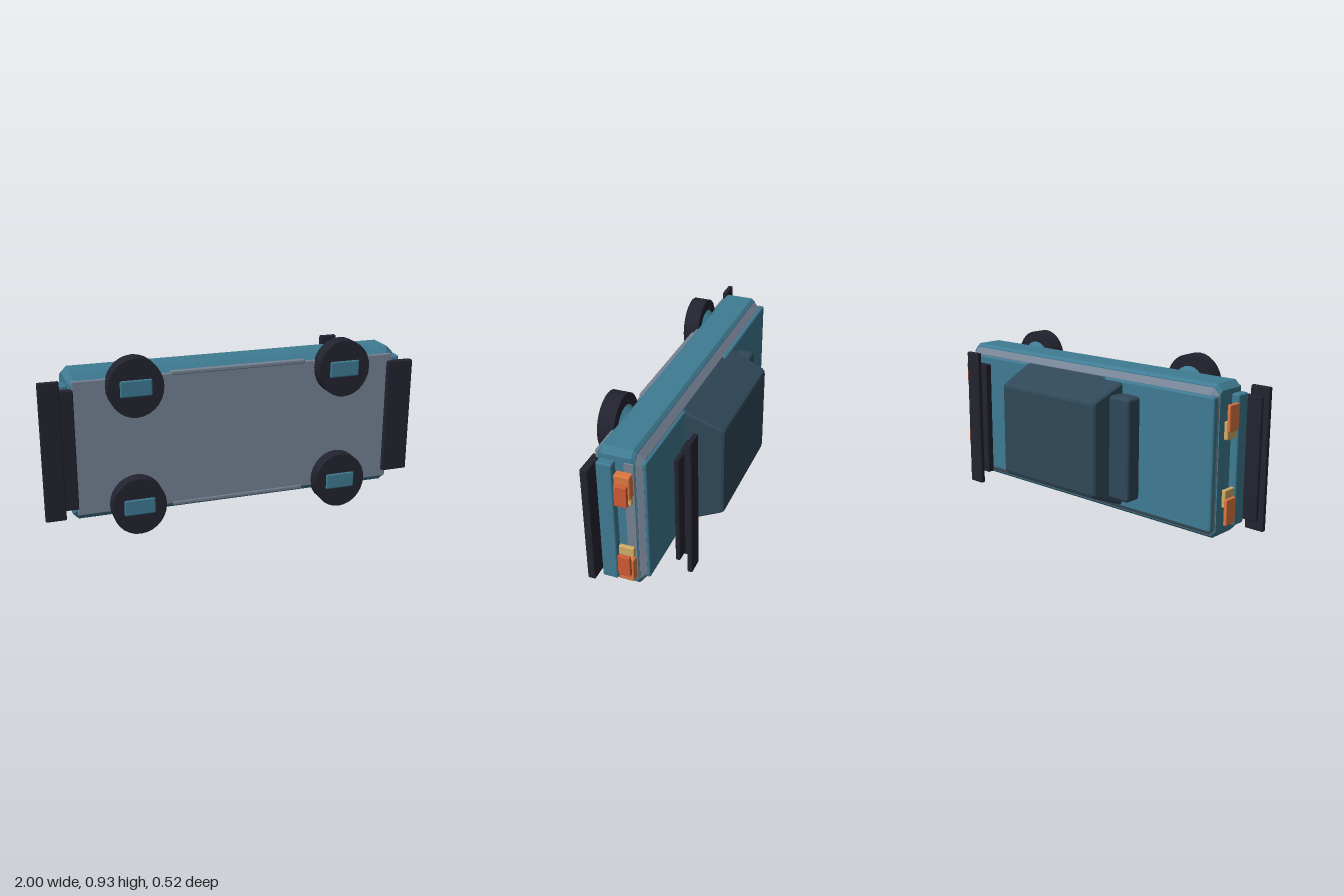
import * as THREE from 'three';
import { RoundedBoxGeometry } from 'three/addons/geometries/RoundedBoxGeometry.js';
import { ConvexGeometry } from 'three/addons/geometries/ConvexGeometry.js';

const mat = (name, color) => {
  const m = new THREE.MeshStandardMaterial({ color });
  m.name = name;
  return m;
};

export function createModel() {
  const car = new THREE.Group();
  car.name = 'car';
  const teal = mat('teal paint', 0x3f7b93);
  const grey = mat('grey trim', 0x768395);
  const glass = mat('dark cabin', 0x304858);
  const black = mat('black rubber', 0x232330);
  const tan = mat('tan lamp', 0xd2ac66);
  const orange = mat('orange lamp', 0xdd7840);
  const red = mat('red lamp', 0xcf5b36);
  const MID = 0.465; // centre line of the body in y

  const add = (name, geo, material) => {
    const mesh = new THREE.Mesh(geo, material);
    mesh.name = name;
    car.add(mesh);
    return mesh;
  };
  // Softened block given by its extents
  const block = (name, material, [x0, x1], [y0, y1], [z0, z1], r = 0.006) => {
    const w = x1 - x0, h = y1 - y0, d = z1 - z0;
    const geo = new RoundedBoxGeometry(w, h, d, 2, Math.min(r, w * 0.45, h * 0.45, d * 0.45));
    geo.translate((x0 + x1) / 2, (y0 + y1) / 2, (z0 + z1) / 2);
    return add(name, geo, material);
  };
  // Faceted hull from rings [z, x0, x1, half width, corner cut]
  const hull = (name, material, rings) => {
    const pts = [];
    for (const [z, x0, x1, h, c] of rings) {
      for (const s of [-1, 1]) {
        pts.push(new THREE.Vector3(x0 + c, MID + s * h, z), new THREE.Vector3(x1 - c, MID + s * h, z));
        pts.push(new THREE.Vector3(x0, MID + s * (h - c), z), new THREE.Vector3(x1, MID + s * (h - c), z));
      }
    }
    return add(name, new ConvexGeometry(pts), material);
  };

  // Lower body, shoulder trim and deck panels
  hull('body', teal, [
    [0.175, -0.84, 0.875, 0.35, 0.02],
    [0.145, -0.857, 0.9, 0.384, 0.03],
    [-0.002, -0.857, 0.9, 0.384, 0.03],
    [-0.018, -0.857, 0.895, 0.37, 0.03],
  ]);
  hull('shoulderTrim', grey, [
    [-0.016, -0.852, 0.893, 0.368, 0.03],
    [-0.025, -0.852, 0.89, 0.345, 0.03],
    [-0.05, -0.85, 0.88, 0.335, 0.03],
  ]);
  block('endTrim', grey, [0.895, 0.904], [0.135, 0.795], [-0.014, 0.035], 0.003);
  block('underside', grey, [-0.835, 0.88], [0.112, 0.818], [0.165, 0.184]);
  block('frontDeck', teal, [-0.858, -0.17], [0.131, 0.799], [-0.07, -0.03], 0.012);
  block('rearDeck', teal, [0.38, 0.878], [0.135, 0.795], [-0.064, -0.035], 0.01);
  block('middleDeck', teal, [-0.2, 0.42], [0.135, 0.795], [-0.054, -0.03]);

  // Cabin with tapering sides, and the low box ahead of it
  hull('cabin', glass, [
    [-0.045, -0.302, 0.412, 0.334, 0.008],
    [-0.07, -0.299, 0.408, 0.322, 0.008],
    [-0.245, -0.281, 0.388, 0.252, 0.01],
    [-0.257, -0.275, 0.382, 0.245, 0.012],
    [-0.262, -0.262, 0.37, 0.232, 0.012],
  ]);
  block('cowl', glass, [-0.412, -0.27], [0.195, 0.735], [-0.157, -0.05], 0.02);

  // Bumpers
  block('frontSplitter', black, [-1, -0.895], [0.105, 0.828], [0.174, 0.2]);
  block('frontBumper', black, [-0.97, -0.83], [0.153, 0.778], [0.158, 0.198]);
  block('rearBumper', black, [0.853, 0.997], [0.153, 0.778], [0.168, 0.207]);
  block('frontBumperBar', teal, [-0.897, -0.85], [0.137, 0.795], [0.077, 0.157], 0.01);
  block('rearBumperBar', teal, [0.89, 0.941], [0.137, 0.795], [0.077, 0.157], 0.01);

  // Rear wing blades
  block('wingLower', black, [0.655, 0.75], [0.168, 0.752], [-0.166, -0.142]);
  block('wingMiddle', black, [0.605, 0.68], [0.153, 0.778], [-0.189, -0.15]);
  block('wingUpper', black, [0.635, 0.727], [0.088, 0.842], [-0.219, -0.193]);

  for (const s of [-1, 1]) {
    const side = s > 0 ? 'Upper' : 'Lower';
    const span = (a, b) => (s > 0 ? [MID + a, MID + b] : [MID - b, MID - a]);

    // Lamps at both ends
    block('frontLampInner' + side, tan, [-0.9, -0.878], span(0.123, 0.213), [-0.012, 0.067]);
    block('frontLampOuter' + side, orange, [-0.916, -0.898], span(0.165, 0.298), [-0.02, 0.058]);
    block('rearLampInner' + side, tan, [0.915, 0.937], span(0.123, 0.213), [-0.011, 0.067]);
    block('rearLampOuter' + side, orange, [0.92, 0.963], span(0.175, 0.298), [-0.018, 0.06]);
    block('rearLampLens' + side, red, [0.963, 0.984], span(0.145, 0.255), [-0.01, 0.053], 0.004);

    // Sill strips
    block('sill' + side, grey, [-0.34, 0.38], span(0.341, 0.363), [0.16, 0.188]);

    // Wheels with inner arch cone and hub cap
    for (const x of [-0.532, 0.573]) {
      const y = MID + s * 0.313;
      const tyre = new THREE.CylinderGeometry(0.15, 0.15, 0.085, 28);
      tyre.rotateX(Math.PI / 2).scale(0.935, 1, 1).translate(x, y, 0.2135);
      add('wheel' + side, tyre, black);
      const arch = new THREE.CylinderGeometry(0.095, 0.065, 0.035, 20);
      arch.rotateX(Math.PI / 2).translate(x, y, 0.156);
      add('wheelArch' + side, arch, teal);
      block('hubCap' + side, teal, [x - 0.082, x + 0.082], [y - 0.044, y + 0.044], [0.24, 0.262], 0.01);
    }
  }
  return car;
}
